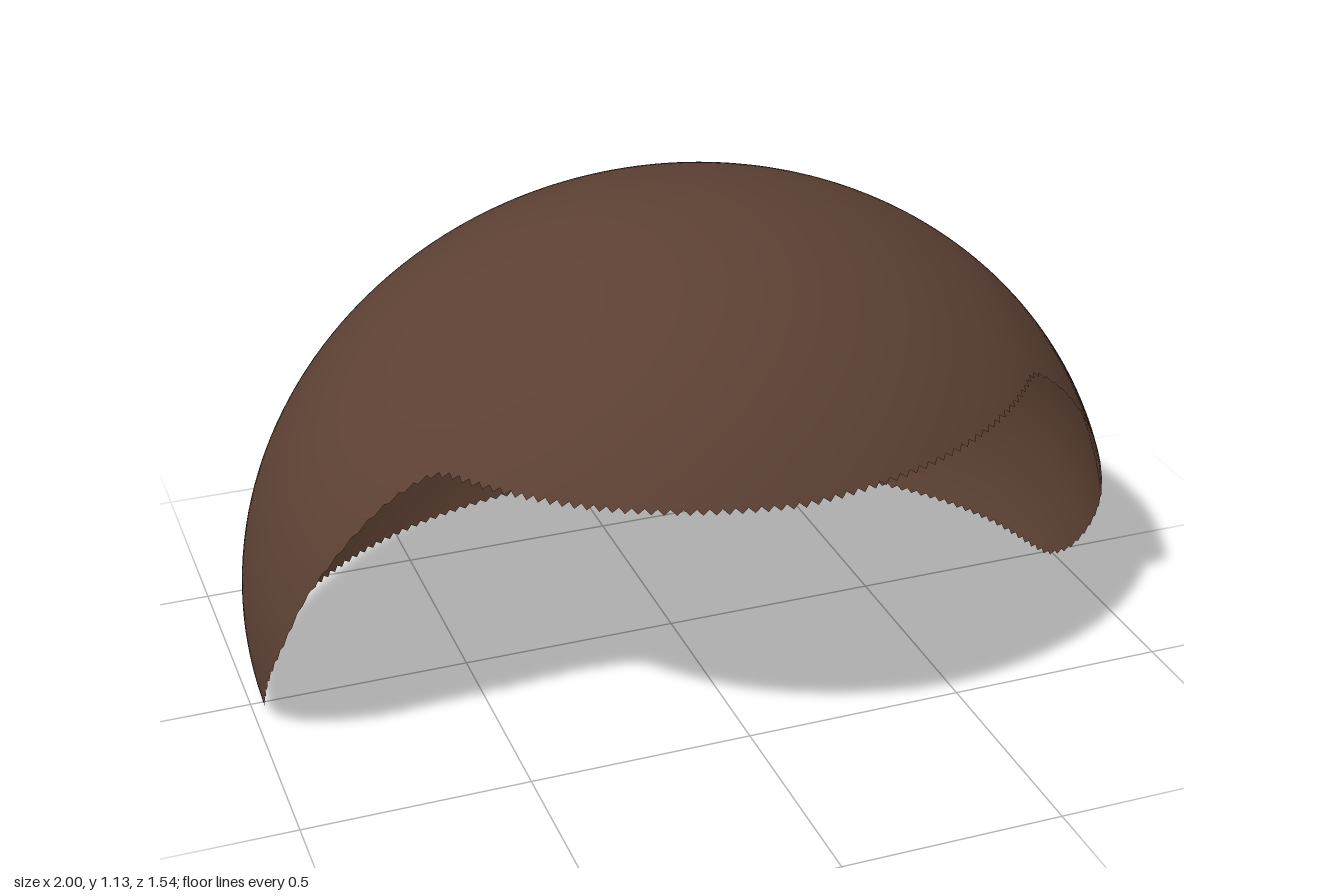
import * as THREE from 'three';

const COLUMNS = 400, ROWS = 56;
const RADII = new THREE.Vector3(1, 0.91, 0.84);
const CENTRE = new THREE.Vector3(0, 0.22, 0.07);

// Rim height by azimuth in degrees: 0 is the front, 180 the back
const rim = new THREE.SplineCurve([
  [0, 0.72], [26, 0.735], [48, 0.753], [54, 0.755], [58, 0.73], [63.6, 0.645], [71, 0.46],
  [76.2, 0.3], [84.5, 0.12], [90.3, 0.04], [96, 0.012], [110, 0.01], [145, 0.01], [180, 0.01],
].map(([a, y]) => new THREE.Vector2(a, y))).getPoints(260);

function rimHeight(angle) {
  const i = Math.max(1, rim.findIndex((p) => p.x >= angle - 1e-6));
  const a = rim[i - 1], b = rim[i];
  return THREE.MathUtils.mapLinear(angle, a.x, b.x, a.y, b.y);
}

// Domed shell whose rows stretch from the crown down to the shaped rim
function shellGeometry() {
  const geo = new THREE.SphereGeometry(1, COLUMNS, ROWS, 0, Math.PI * 2, 0, 3);
  const { position, normal, uv } = geo.attributes;
  const p = new THREE.Vector3();
  for (let i = 0; i < position.count; i++) {
    const column = i % (COLUMNS + 1);
    const phi = (column / COLUMNS) * Math.PI * 2;
    let angle = Math.abs(THREE.MathUtils.radToDeg(phi) - 90);
    if (angle > 180) angle = 360 - angle;
    const tooth = column % 2 ? 0.005 : -0.005; // finely serrated hair ends
    const end = Math.acos((rimHeight(angle) + tooth - CENTRE.y) / RADII.y);
    const theta = (1 - uv.getY(i)) * end;
    p.set(-Math.cos(phi) * Math.sin(theta), Math.cos(theta), Math.sin(phi) * Math.sin(theta));
    const n = p.clone().divide(RADII).normalize();
    normal.setXYZ(i, n.x, n.y, n.z);
    p.multiply(RADII).add(CENTRE);
    position.setXYZ(i, p.x, p.y, p.z);
  }
  return geo;
}

export function createModel() {
  const group = new THREE.Group();
  group.name = 'hair';
  const brown = new THREE.MeshStandardMaterial({ color: 0x5c4033, side: THREE.DoubleSide });
  brown.name = 'dark brown';
  const shell = new THREE.Mesh(shellGeometry(), brown);
  shell.name = 'hairCap';
  group.add(shell);
  return group;
}
